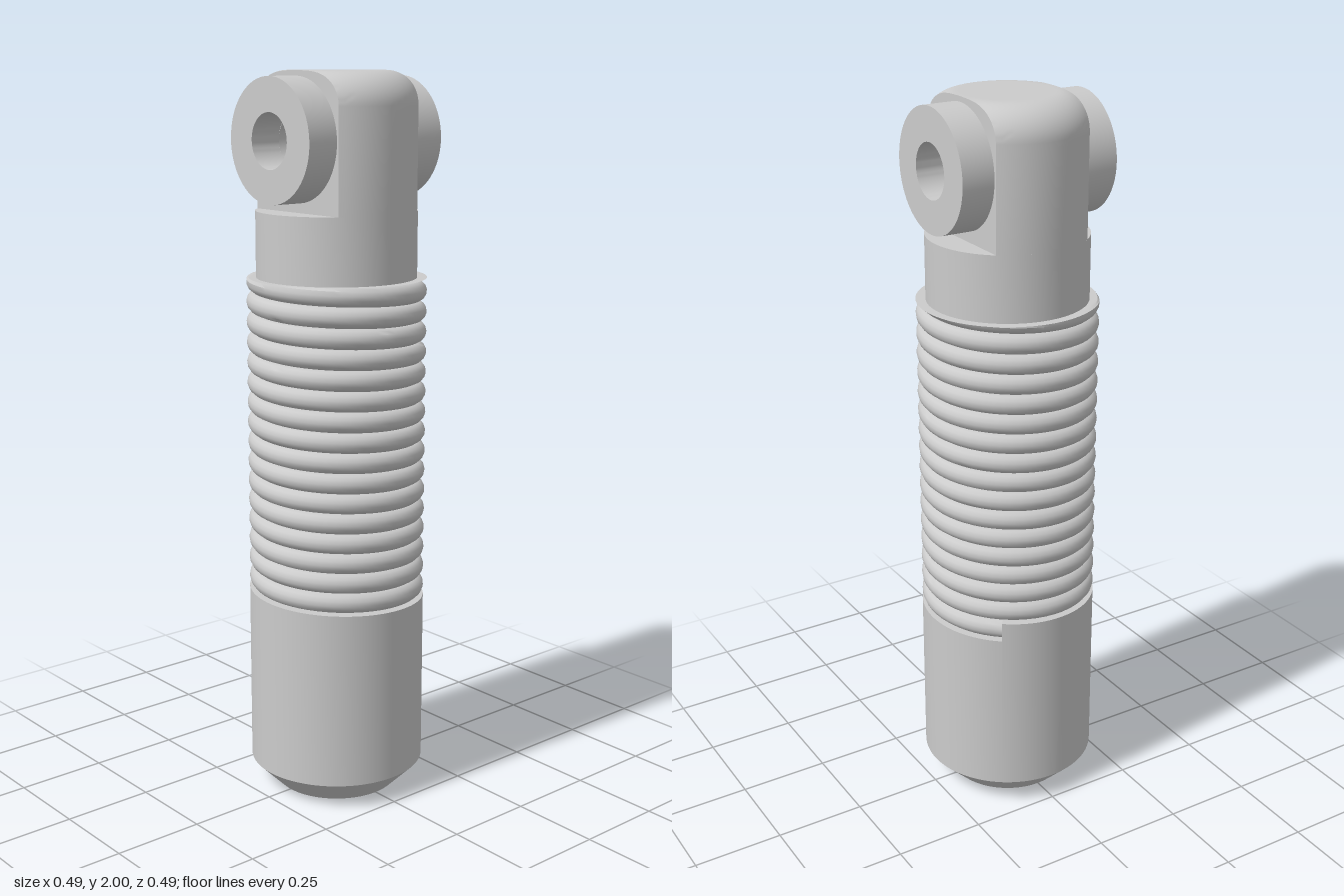
import * as THREE from 'three';
import { toCreasedNormals } from 'three/addons/utils/BufferGeometryUtils.js';

const RADIUS = 0.245;      // body and coil outer radius
const CORE = 0.218;        // upper cylinder radius
const PITCH = 0.0555;      // coil rise per turn
const START = -55 * Math.PI / 180; // where the coil leaves the body
const STEP_Y = 0.5415;     // lowest point of the helical shoulder
const COIL_TOP = 1.456;    // coil is ground flat here
const EYE_Y = 1.823, EYE_R = 0.073;
const FLAT_X = 0.137, FLAT_Y = 1.635, FILLET = 0.088;

const material = new THREE.MeshStandardMaterial({ color: 0xcccccc });
const doubleSided = new THREE.MeshStandardMaterial({ color: 0xcccccc, side: THREE.DoubleSide });

function part(name, geometry, mat = material) {
  const mesh = new THREE.Mesh(toCreasedNormals(geometry, 0.5), mat);
  mesh.name = name;
  return mesh;
}

const lathe = (points, segments = 96, phi = 0) =>
  new THREE.LatheGeometry(points.map(([r, y]) => new THREE.Vector2(r, y)), segments, phi);

// Chamfered, bored cylinder whose upper rim climbs one pitch per turn
function bodyGeometry() {
  const segments = 96;
  const profile = [[0, 0.3], [0.09, 0.3], [0.09, 0], [0.172, 0], [RADIUS, 0.073], [RADIUS, STEP_Y], [0.2, STEP_Y]];
  const geometry = lathe(profile, segments, Math.PI / 2 - START);
  const pos = geometry.attributes.position;
  for (let i = 0; i <= segments; i++) {
    for (const j of [5, 6]) {
      pos.setY(i * profile.length + j, STEP_Y + PITCH * (1 - i / segments));
    }
  }
  return geometry;
}

// Wire wound around the core, flattened at the top
class Helix extends THREE.Curve {
  constructor(sweep) {
    super();
    this.sweep = sweep;
  }
  getPoint(t, target = new THREE.Vector3()) {
    const turn = t * this.sweep, a = START + turn;
    return target.set(
      0.217 * Math.cos(a),
      STEP_Y + 0.03 + PITCH * turn / (2 * Math.PI),
      0.217 * Math.sin(a));
  }
}

function coilGeometry() {
  const sweep = 16 * 2 * Math.PI + 110 * Math.PI / 180 - START;
  const geometry = new THREE.TubeGeometry(new Helix(sweep), 900, 0.028, 14);
  const pos = geometry.attributes.position;
  for (let i = 0; i < pos.count; i++) pos.setY(i, Math.min(pos.getY(i), COIL_TOP));
  return geometry;
}

// Height of the rounded head at a distance from the axis
function headTop(r) {
  const d = Math.min(Math.max(0, r - (CORE - FILLET)), FILLET);
  return 2 - FILLET + Math.sqrt(FILLET * FILLET - d * d);
}

// Head between two flats: a pierced slab bent to the round, filleted outline
function headGeometry() {
  const shape = new THREE.Shape();
  shape.moveTo(-CORE, FLAT_Y);
  shape.lineTo(CORE, FLAT_Y);
  const n = 40;
  for (let i = 0; i <= n; i++) {
    const z = CORE * Math.cos(Math.PI * i / n);
    shape.lineTo(z, headTop(Math.abs(z)));
  }
  shape.closePath();
  shape.holes.push(new THREE.Path().absarc(0, EYE_Y, EYE_R, 0, Math.PI * 2, true));

  const geometry = new THREE.ExtrudeGeometry(shape, {
    depth: 2 * FLAT_X, steps: 20, bevelEnabled: false, curveSegments: 24,
  });
  geometry.translate(0, 0, -FLAT_X).rotateY(Math.PI / 2);
  const pos = geometry.attributes.position;
  for (let i = 0; i < pos.count; i++) {
    const x = pos.getX(i), y = pos.getY(i), z = pos.getZ(i);
    if (Math.hypot(z, y - EYE_Y) < EYE_R + 0.005) continue;
    const newZ = z * Math.sqrt(CORE * CORE - x * x) / CORE;
    pos.setZ(i, newZ);
    if (y > FLAT_Y + 0.01) pos.setY(i, headTop(Math.hypot(x, newZ)));
  }
  return geometry;
}

export function createModel() {
  const model = new THREE.Group();
  model.name = 'shockAbsorber';

  model.add(part('body', bodyGeometry()));

  // Radial wall where the helical shoulder drops back one pitch
  const wall = part('shoulderStep', new THREE.PlaneGeometry(0.045, PITCH), doubleSided);
  wall.position.set(0.2225 * Math.cos(START), STEP_Y + PITCH / 2, 0.2225 * Math.sin(START));
  wall.rotation.y = -START;
  model.add(wall);

  model.add(part('spring', coilGeometry()));
  model.add(part('core', lathe([[0, 0.45], [0.212, 0.45], [0.212, 1.43], [CORE, 1.44], [CORE, FLAT_Y], [0, FLAT_Y]])));
  model.add(part('head', headGeometry()));

  // Bored bosses on both flats
  for (const side of [1, -1]) {
    const boss = part(side > 0 ? 'leftBoss' : 'rightBoss',
      lathe([[EYE_R, 0.09], [EYE_R, 0], [0.163, 0], [0.163, 0.09], [EYE_R, 0.09]], 64));
    boss.rotation.z = -side * Math.PI / 2;
    boss.position.set(side * FLAT_X, EYE_Y, 0);
    model.add(boss);
  }
  return model;
}
